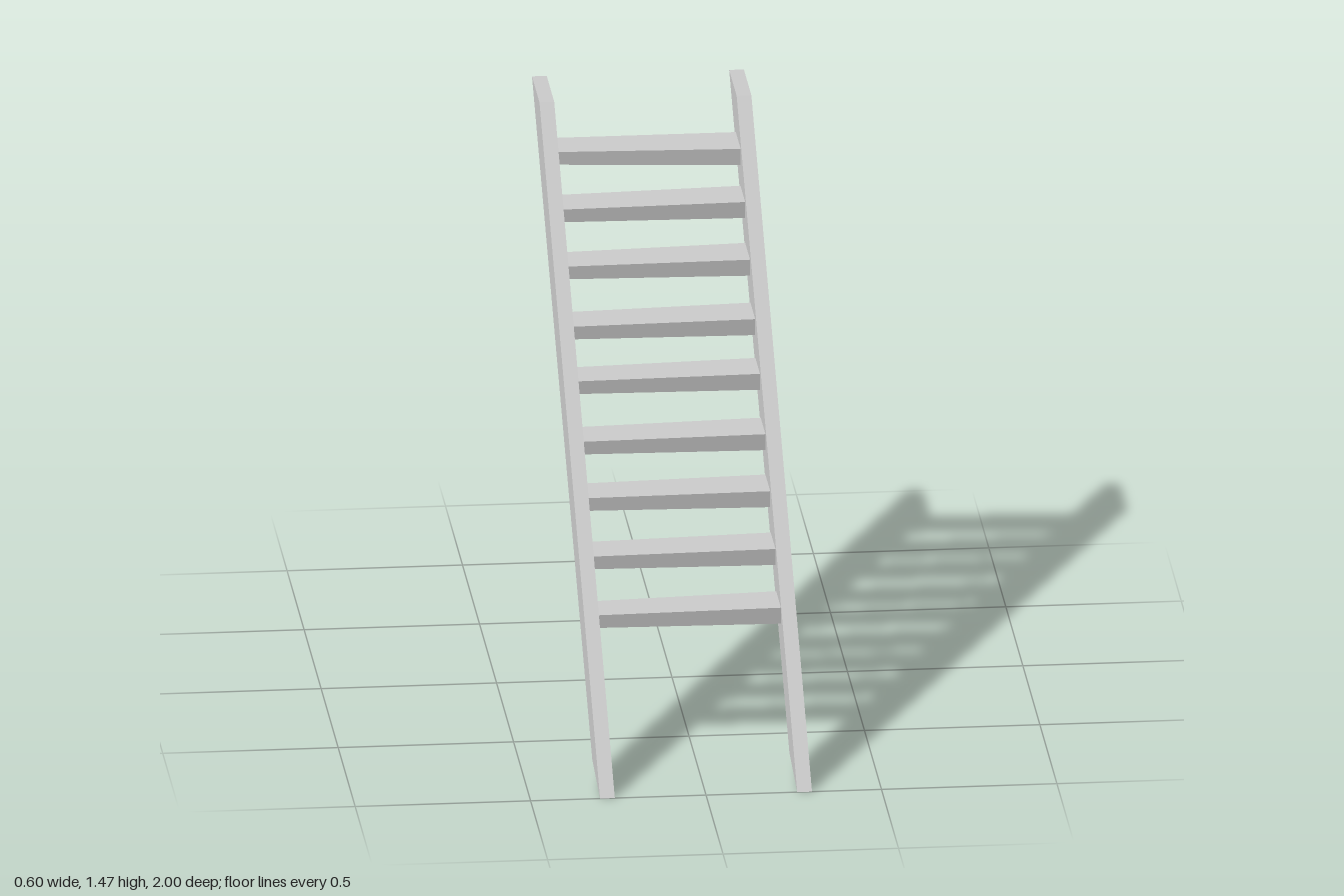
import * as THREE from 'three';

const material = new THREE.MeshStandardMaterial({ color: 0xcccccc, flatShading: true });

// Side rail: slanted plank outline in (z, y), extruded across x
function createRail(name, x) {
  const width = 0.042;
  const outline = new THREE.Shape([[1, 0], [-0.78, 1.465], [-1, 1.465], [0.77, 0.036]]
    .map(([z, y]) => new THREE.Vector2(z, y)));
  const geometry = new THREE.ExtrudeGeometry(outline, { depth: width, bevelEnabled: false });
  geometry.translate(0, 0, -width / 2).rotateY(-Math.PI / 2);
  const rail = new THREE.Mesh(geometry, material);
  rail.name = name;
  rail.position.x = x;
  return rail;
}

// Tread: a box whose two ends differ slightly in depth and thickness
function createTread([y, backRight, frontRight, backLeft, frontLeft]) {
  const geometry = new THREE.BoxGeometry(1, 1, 1);
  const p = geometry.attributes.position;
  for (let i = 0; i < p.count; i++) {
    const left = p.getX(i) > 0;
    const front = p.getZ(i) > 0;
    const thickness = left ? 0.048 : 0.038;
    const z = left ? (front ? frontLeft : backLeft) : (front ? frontRight : backRight);
    p.setXYZ(i, left ? 0.262 : -0.264, y + p.getY(i) * thickness, z);
  }
  geometry.computeVertexNormals();
  return new THREE.Mesh(geometry, material);
}

export function createModel() {
  const ladder = new THREE.Group();
  ladder.name = 'ladder';
  ladder.add(createRail('leftRail', 0.281), createRail('rightRail', -0.281));

  // Height, then back and front z at the right end and at the left end
  const treads = [
    [0.361, 0.40, 0.52, 0.38, 0.52],
    [0.481, 0.235, 0.36, 0.22, 0.36],
    [0.600, 0.075, 0.20, 0.063, 0.205],
    [0.722, -0.06, 0.065, -0.075, 0.065],
    [0.847, -0.215, -0.095, -0.23, -0.095],
    [0.962, -0.36, -0.235, -0.375, -0.235],
    [1.087, -0.515, -0.393, -0.53, -0.387],
    [1.210, -0.655, -0.53, -0.668, -0.53],
    [1.323, -0.82, -0.70, -0.805, -0.662],
  ];
  treads.forEach((row, i) => {
    const tread = createTread(row);
    tread.name = `tread${i + 1}`;
    ladder.add(tread);
  });
  return ladder;
}
